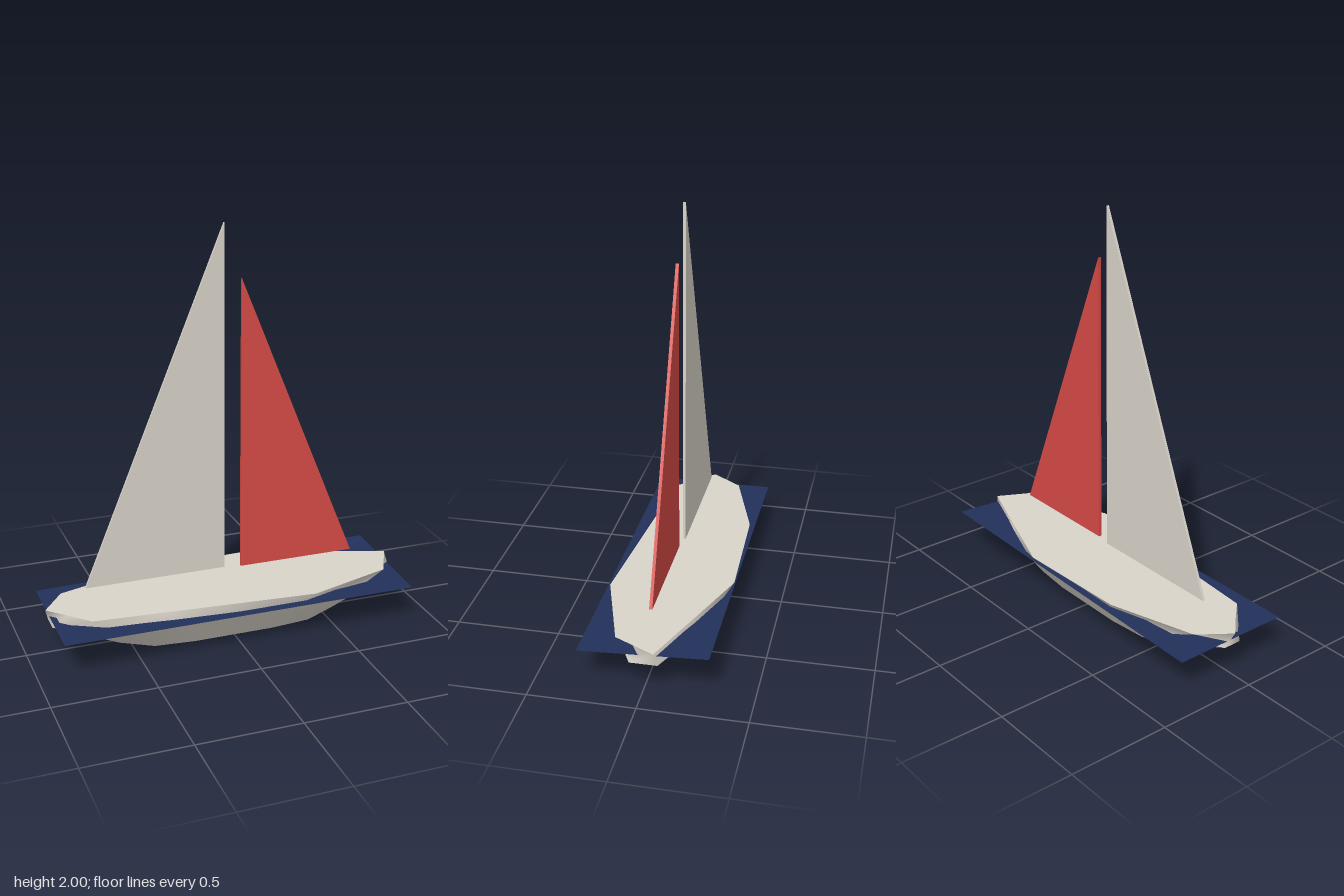
import * as THREE from 'three';

// Horizontal outlines of the hull as [x, z], stern to bow along the back, then home along the front
const deckRing = [[-0.9, 0], [-0.79, -0.15], [-0.36, -0.28], [0.23, -0.3], [0.57, -0.176], [0.9, -0.055],
  [0.872, 0], [0.8, 0.14], [0.37, 0.275], [-0.36, 0.215], [-0.72, 0.185], [-0.81, 0.09]];
const chineRing = [[-0.88, -0.04], [-0.6, -0.2], [-0.3, -0.235], [0.3, -0.235], [0.6, -0.19], [0.88, -0.07],
  [0.88, 0.06], [0.6, 0.2], [0.3, 0.235], [-0.3, 0.235], [-0.6, 0.2], [-0.88, 0.05]];
const keelRing = [[-0.55, -0.03], [-0.4, -0.12], [-0.2, -0.14], [0.2, -0.14], [0.4, -0.12], [0.56, -0.04],
  [0.56, 0.04], [0.4, 0.12], [0.2, 0.14], [-0.2, 0.14], [-0.4, 0.12], [-0.55, 0.03]];

function surface(points, index) {
  const geometry = new THREE.BufferGeometry();
  geometry.setAttribute('position', new THREE.Float32BufferAttribute(points.flat(), 3));
  geometry.setIndex(index);
  geometry.computeVertexNormals();
  return geometry;
}

const lift = (ring, y) => ring.map(([x, z]) => [x, y, z]);

// Smooth band joining two outlines
function band(lower, y0, upper, y1) {
  const n = lower.length, index = [];
  for (let i = 0; i < n; i++) {
    const j = (i + 1) % n;
    index.push(i, n + i, j, j, n + i, n + j);
  }
  return surface([...lift(lower, y0), ...lift(upper, y1)], index);
}

// Flat face filling one outline
function cap(ring, y, faceUp) {
  const n = ring.length, index = [];
  for (let i = 0; i < n; i++) {
    const j = (i + 1) % n;
    index.push(n, faceUp ? j : i, faceUp ? i : j);
  }
  return surface([...lift(ring, y), [0, y, 0]], index);
}

// Thin triangular sail
function sail(corners, z, depth) {
  const shape = new THREE.Shape(corners.map(([x, y]) => new THREE.Vector2(x, y)));
  return new THREE.ExtrudeGeometry(shape, { depth, bevelEnabled: false }).translate(0, 0, z);
}

export function createModel() {
  const cream = new THREE.MeshStandardMaterial({ color: 0xd9d4ca });
  const red = new THREE.MeshStandardMaterial({ color: 0xd74a46 });
  const navy = new THREE.MeshStandardMaterial({ color: 0x22305a });
  cream.name = 'cream';
  red.name = 'red';
  navy.name = 'navy';
  navy.side = THREE.DoubleSide;

  const model = new THREE.Group();
  model.name = 'sailboat';
  const add = (name, geometry, material, parent = model) => {
    const mesh = new THREE.Mesh(geometry, material);
    mesh.name = name;
    parent.add(mesh);
  };

  // Hull
  const hull = new THREE.Group();
  hull.name = 'hull';
  model.add(hull);
  add('lowerHull', band(keelRing, 0, chineRing, 0.15), cream, hull);
  add('upperHull', band(chineRing, 0.15, deckRing, 0.22), cream, hull);
  add('hullBottom', cap(keelRing, 0, false), cream, hull);
  add('deck', cap(deckRing, 0.22, true), cream, hull);

  // Thin stripe sheet through the hull, with one raised corner
  add('stripeSheet', surface(
    [[-0.88, 0.18, 0.3], [0.88, 0.18, 0.3], [0.88, 0.212, -0.3], [-0.88, 0.18, -0.3]],
    [0, 1, 3, 1, 2, 3]), navy);

  // Sails
  add('mainSail', sail([[-0.7, 0.3], [0, 0.3], [0, 2]], -0.015, 0.013), cream);
  add('frontSail', sail([[0.08, 0.3], [0.67, 0.3], [0.08, 1.74]], 0, 0.015), red);

  return model;
}
